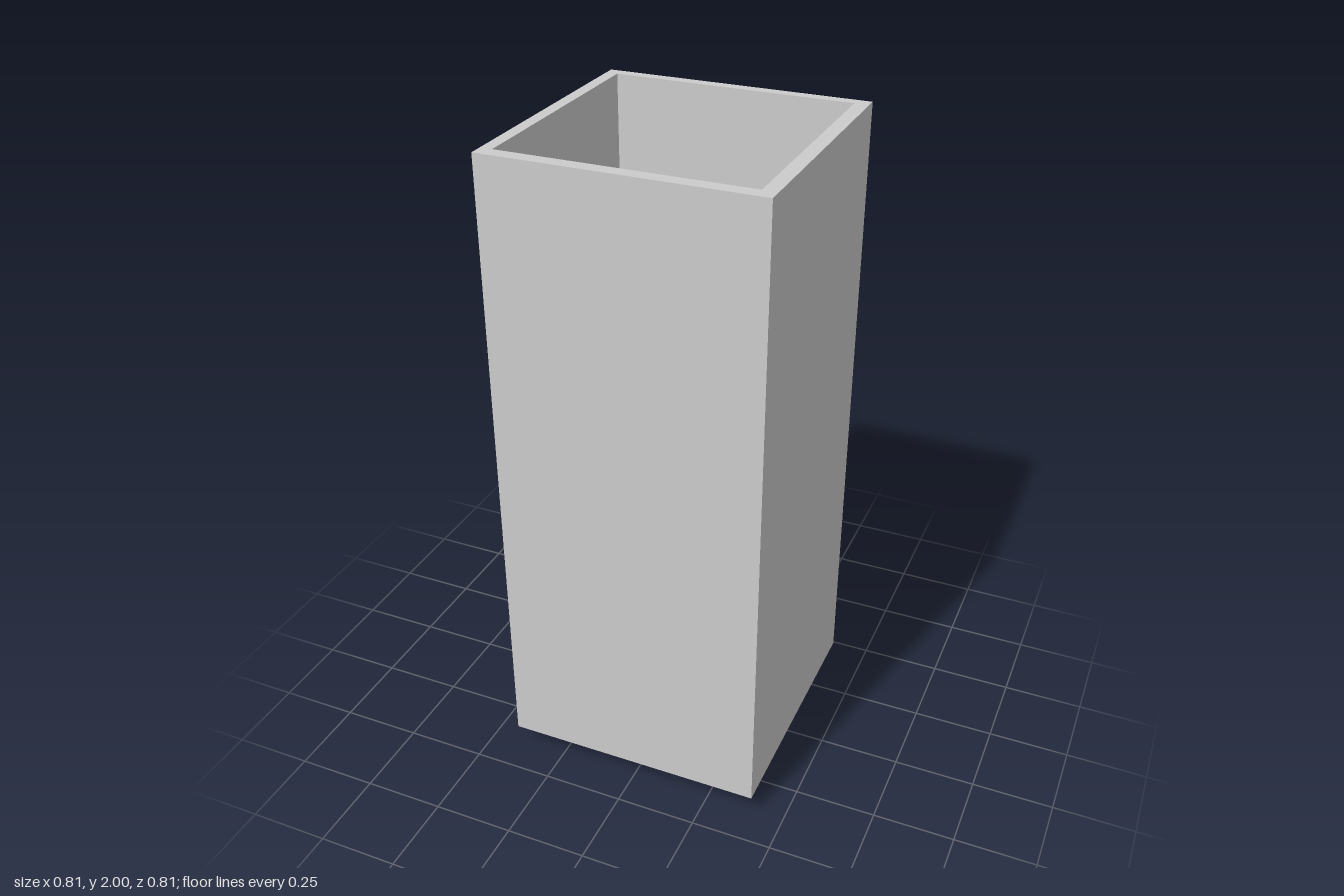
import * as THREE from 'three';
import { toCreasedNormals } from 'three/addons/utils/BufferGeometryUtils.js';

// Rectangular ring of four corners at height y
function ring(x0, x1, z0, z1, y) {
  return [[x0, y, z1], [x1, y, z1], [x1, y, z0], [x0, y, z0]];
}

// Joins successive rings with quads
function skin(rings) {
  const pos = [];
  for (let i = 0; i < rings.length - 1; i++) {
    const a = rings[i], b = rings[i + 1];
    for (let k = 0; k < 4; k++) {
      const n = (k + 1) % 4;
      pos.push(...a[k], ...a[n], ...b[n], ...a[k], ...b[n], ...b[k]);
    }
  }
  const geo = new THREE.BufferGeometry();
  geo.setAttribute('position', new THREE.Float32BufferAttribute(pos, 3));
  return toCreasedNormals(geo, THREE.MathUtils.degToRad(32));
}

export function createModel() {
  const group = new THREE.Group();
  group.name = 'squareHopper';
  const material = new THREE.MeshStandardMaterial({ color: 0xcccccc });

  const outer = (y) => ring(-0.404, 0.404, -0.404, 0.404, y);
  const inner = (y) => ring(-0.368, 0.361, -0.371, 0.362, y);
  const hole = (y) => ring(-0.112, 0.121, -0.098, 0.163, y);

  // Open-topped shell: outer wall, rim, inner wall, sloping floor, outlet lip, underside
  const shell = new THREE.Mesh(skin([
    outer(0.075), outer(2), inner(2), inner(0.105),
    hole(0.03), hole(0), inner(0.075), outer(0.075),
  ]), material);
  shell.name = 'hopperShell';
  group.add(shell);
  return group;
}
